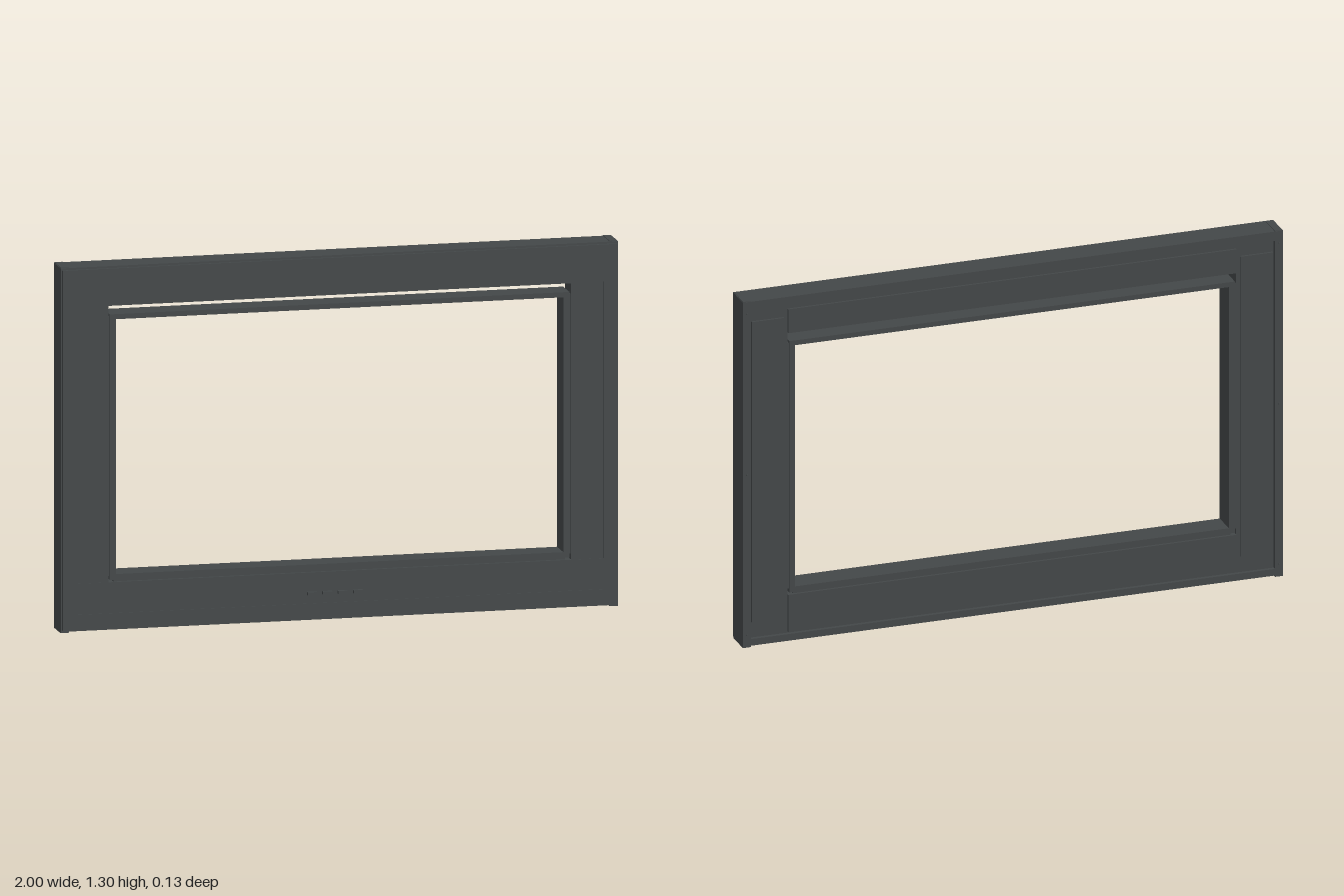
import * as THREE from 'three';

export function createModel() {
  const model = new THREE.Group();
  const charcoal = new THREE.MeshStandardMaterial({ color: 0x434748 });
  charcoal.name = 'charcoal';

  const add = (name, geometry, parent = model) => {
    const mesh = new THREE.Mesh(geometry, charcoal);
    mesh.name = name;
    parent.add(mesh);
    return mesh;
  };

  // Box given by its limits on each axis
  const box = (name, x0, x1, y0, y1, z0, z1, parent) =>
    add(name, new THREE.BoxGeometry(x1 - x0, y1 - y0, z1 - z0), parent)
      .position.set((x0 + x1) / 2, (y0 + y1) / 2, (z0 + z1) / 2);

  const corners = (w, y0, y1) => [[-w, y0], [w, y0], [w, y1], [-w, y1]].map(p => new THREE.Vector2(...p));

  // Rectangular ring; outer and inner are [half width, bottom, top]
  const ring = (name, outer, inner, z0, z1) => {
    const shape = new THREE.Shape(corners(...outer));
    shape.holes.push(new THREE.Path(corners(...inner)));
    const geometry = new THREE.ExtrudeGeometry(shape, { depth: z1 - z0, bevelEnabled: false });
    geometry.translate(0, 0, z0);
    return add(name, geometry);
  };

  // Outer casing: rails between side posts, with a stepped front rim
  ring('casing', [1, 0.005, 1.3], [0.97, 0.03, 1.265], -0.06, 0.045);
  ring('frontRim', [0.995, 0.01, 1.293], [0.945, 0.065, 1.245], 0.045, 0.055);
  ring('core', [0.97, 0.03, 1.265], [0.83, 0.175, 1.16], -0.046, 0.045);

  // Front panels, set slightly behind the rim
  box('frontTopPanel', -0.945, 0.945, 1.16, 1.245, 0.045, 0.052);
  box('frontBottomPanel', -0.945, 0.945, 0.065, 0.175, 0.045, 0.052);

  // Back rails
  box('backTopPanel', -0.83, 0.83, 1.16, 1.25, -0.054, -0.046);
  box('backBottomPanel', -0.83, 0.83, 0.035, 0.175, -0.054, -0.046);

  for (const [side, s] of [['left', 1], ['right', -1]]) {
    const group = new THREE.Group();
    group.name = side + 'SideDetails';
    model.add(group);
    const sideBox = (name, x0, x1, ...rest) =>
      box(name, Math.min(s * x0, s * x1), Math.max(s * x0, s * x1), ...rest, group);
    sideBox('frontSidePanel', 0.83, 0.945, 0.175, 1.16, 0.045, 0.05);
    sideBox('backSidePanel', 0.845, 0.965, 0.09, 1.22, -0.054, -0.046);
    // Corner feet and caps of the posts
    sideBox('postFoot', 0.97, 1, 0, 0.005, -0.06, 0.04);
    sideBox('postCap', 0.97, 0.998, 1.3, 1.302, -0.058, 0.04);
    // Screws on the back of the post
    for (const y of [0.047, 0.65, 1.255]) {
      const screw = add('screw', new THREE.CylinderGeometry(0.004, 0.004, 0.006, 10), group);
      screw.rotation.x = Math.PI / 2;
      screw.position.set(s * 0.985, y, -0.062);
    }
  }

  // Inner frame lining the opening, leaving a gap along the top
  ring('innerFrame', [0.825, 0.182, 1.128], [0.803, 0.202, 1.11], -0.05, 0.046);
  for (const x of [-0.827, 0.827]) {
    box('innerFrameMount', x - 0.005, x + 0.005, 0.195, 1.12, -0.045, 0.04);
  }
  box('innerFrameBottomMount', -0.81, 0.81, 0.174, 0.183, -0.045, 0.04);

  // Row of control buttons
  for (let i = 0; i < 4; i++) {
    const x = -0.102 + i * 0.055;
    box('button', x - 0.017, x + 0.017, 0.096, 0.107, 0.051, 0.066);
  }
  return model;
}
